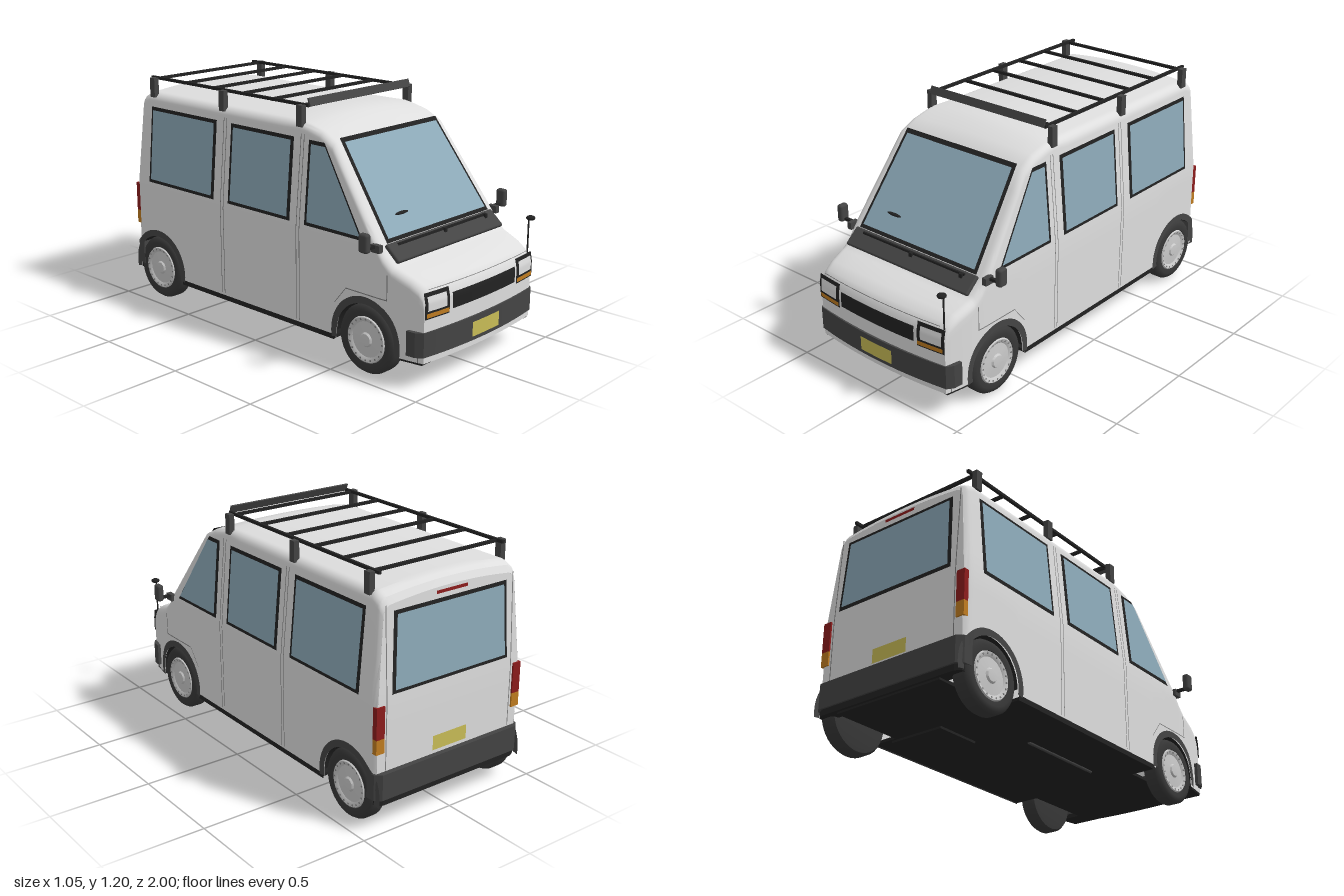
import * as THREE from 'three';
import { toCreasedNormals } from 'three/addons/utils/BufferGeometryUtils.js';
import { RoundedBoxGeometry } from 'three/addons/geometries/RoundedBoxGeometry.js';

const material = (name, color) => new THREE.MeshStandardMaterial({ name, color, side: THREE.DoubleSide });
const white = material('white paint', 0xdedede);
const glass = material('blue glass', 0x8daab9);
const black = material('black trim', 0x222222);
const grey = material('dark grey plastic', 0x444444);
const rubber = material('tyre rubber', 0x383838);
const silver = material('wheel silver', 0xcacaca);
const seam = material('seam grey', 0x808080);
const yellow = material('plate yellow', 0xc9bd57);
const orange = material('indicator orange', 0xc07c20);
const red = material('lamp red', 0x8c1c1c);

const { lerp, clamp } = THREE.MathUtils;
const AXLES = [0.65, -0.8], AXLE_Y = 0.165, ARCH = 0.175;

// Roof, windscreen and bonnet line: [z, y]
const TOP = [[-0.975, 1.06], [-0.955, 1.09], [-0.9, 1.11], [0.2, 1.112], [0.25, 1.1], [0.33, 1.075], [0.41, 1.03],
  [0.715, 0.62], [0.74, 0.585], [0.79, 0.54], [0.9, 0.505], [0.95, 0.48], [0.975, 0.45], [0.985, 0.41]];

function topY(z) {
  const i = clamp(TOP.findIndex(p => p[0] >= z), 1, TOP.length - 1);
  const [a, b] = [TOP[i - 1], TOP[i]];
  return lerp(a[1], b[1], clamp((z - a[0]) / (b[0] - a[0]), 0, 1));
}
function bottomY(z) {
  let y = 0.13;
  for (const c of AXLES) {
    const d = Math.abs(z - c);
    if (d <= ARCH + 1e-6) y = AXLE_Y + Math.sqrt(Math.max(0, ARCH * ARCH - d * d));
  }
  return y;
}
// Half width of the body: leans in above the waist, narrows at the nose and tail
function halfWidth(y, z) {
  const nose = clamp((z - 0.7) / 0.285, 0, 1), tail = clamp((-z - 0.94) / 0.035, 0, 1);
  return 0.43 - 0.09 * Math.max(0, y - 0.6) - 0.03 * nose * nose - 0.015 * tail * tail;
}
// Bowed nose and leaning tail
function warp(x, y, z) {
  const bow = 0.03 * (x / 0.42) ** 2 * clamp((z - 0.8) / 0.185, 0, 1);
  const lean = 0.025 * Math.max(0, (y - 0.6) / 0.5) * clamp((-z - 0.85) / 0.125, 0, 1);
  return [x, y, z - bow + lean];
}

// Grid of (nu+1) x (nv+1) points given by f(i, j)
function surface(nu, nv, f) {
  const pos = [], index = [];
  for (let i = 0; i <= nu; i++) for (let j = 0; j <= nv; j++) {
    pos.push(...f(i, j));
    if (i < nu && j < nv) {
      const a = i * (nv + 1) + j, b = a + nv + 1;
      index.push(a, b, a + 1, b, b + 1, a + 1);
    }
  }
  const g = new THREE.BufferGeometry();
  g.setAttribute('position', new THREE.Float32BufferAttribute(pos, 3));
  g.setIndex(index);
  g.computeVertexNormals();
  return g;
}

export function createModel() {
  const van = new THREE.Group();
  van.name = 'van';
  const add = (name, geo, mat, x = 0, y = 0, z = 0, parent = van) => {
    const m = new THREE.Mesh(geo, mat);
    m.name = name;
    m.position.set(x, y, z);
    parent.add(m);
    return m;
  };
  const box = (name, mat, w, h, d, x, y, z) => add(name, new THREE.BoxGeometry(w, h, d), mat, x, y, z);

  // Half cross-section from sill to roof centre
  const halfSection = z => {
    const T = topY(z), B = bottomY(z);
    const r = z < 0.2 ? 0.05 : 0.04, crown = lerp(0.02, 0.006, clamp((z - 0.2) / 0.2, 0, 1));
    const ys = T - crown - r, mid = Math.min(0.6, B + (ys - B) * 0.6), pts = [];
    for (let k = 0; k <= 8; k++) {
      const y = k < 4 ? lerp(B, mid, k / 4) : lerp(mid, ys, (k - 4) / 4);
      pts.push([halfWidth(y, z), y]);
    }
    const cx = halfWidth(ys, z) - r;
    for (let k = 1; k <= 6; k++) {
      const a = k * Math.PI / 12;
      pts.push([cx + r * Math.cos(a), ys + r * Math.sin(a)]);
    }
    for (let k = 1; k <= 5; k++) {
      const x = cx * (1 - k / 5);
      pts.push([x, T - crown * (x / cx) ** 2]);
    }
    return pts;
  };

  // Body shell with open wheel arches, closed at nose and tail
  const stations = TOP.map(p => p[0]);
  for (const c of AXLES) {
    for (let k = 0; k <= 16; k++) stations.push(c + ARCH * Math.cos(k * Math.PI / 16));
    stations.push(c + ARCH + 0.0005, c - ARCH - 0.0005);
  }
  stations.push(-0.5, -0.2, 0.1, 0.56, 0.63);
  stations.sort((a, b) => a - b);
  const rings = stations.map(z => {
    const h = halfSection(z);
    return [...h, ...h.slice(0, -1).reverse().map(([x, y]) => [-x, y])].map(([x, y]) => warp(x, y, z));
  });
  add('bodyShell', toCreasedNormals(surface(rings.length - 1, rings[0].length - 1, (i, j) => rings[i][j]), 0.6), white);
  for (const [name, z] of [['nosePanel', 0.985], ['tailPanel', -0.975]]) {
    const h = halfSection(z);
    add(name, surface(h.length - 1, 10, (i, j) => warp(h[i][0] * (1 - j / 5), h[i][1], z)), white);
  }

  // Thin plates laid on the body: four corners [a, y] run through a mapping
  const onSide = s => (z, y, o) => warp(s * (halfWidth(y, z) + o), y, z);
  const onNose = (x, y, o) => { const p = warp(x, y, 0.985 - Math.max(0, y - 0.41) * 0.25); p[2] += o; return p; };
  const onTail = (x, y, o) => { const p = warp(x, y, -0.975); p[2] -= o; return p; };
  const onScreen = (x, y, o) => [x, y, 0.715 - (y - 0.62) * 0.744 + o * 1.3];
  const plate = (name, mat, q, map, o) => add(name, surface(8, 8, (i, j) => {
    const u = i / 8, v = j / 8;
    return map(lerp(lerp(q[0][0], q[1][0], u), lerp(q[3][0], q[2][0], u), v),
      lerp(lerp(q[0][1], q[1][1], u), lerp(q[3][1], q[2][1], u), v), o);
  }), mat);
  const rect = (a0, a1, y0, y1) => [[a0, y0], [a1, y0], [a1, y1], [a0, y1]];
  const inset = (q, d) => {
    const [as, ys] = [q.map(p => p[0]), q.map(p => p[1])];
    const fit = (v, l) => {
      const lo = Math.min(...l), hi = Math.max(...l);
      return lerp(lo + d, hi - d, (v - lo) / (hi - lo));
    };
    return q.map(([a, y]) => [fit(a, as), fit(y, ys)]);
  };
  const framedWindow = (name, q, map) => {
    plate(name + 'Frame', black, q, map, 0.004);
    plate(name + 'Glass', glass, inset(q, 0.017), map, 0.008);
  };
  framedWindow('windscreen', [[-0.373, 0.62], [0.373, 0.62], [0.343, 1.04], [-0.343, 1.04]], onScreen);
  framedWindow('rearWindow', [[-0.34, 0.64], [0.34, 0.64], [0.325, 1.01], [-0.325, 1.01]], onTail);
  const vent = add('windscreenVent', new THREE.SphereGeometry(1, 16, 8), black, -0.2, 0.712, 0.652);
  vent.scale.set(0.05, 0.008, 0.012);

  for (const [side, s] of [['left', 1], ['right', -1]]) {
    const map = onSide(s);
    framedWindow(side + 'CabWindow', [[0.63, 0.625], [0.268, 0.625], [0.268, 1.02], [0.365, 1.02]], map);
    framedWindow(side + 'MiddleWindow', rect(-0.255, 0.172, 0.625, 1.02), map);
    framedWindow(side + 'RearSideWindow', rect(-0.865, -0.36, 0.625, 1.02), map);

    // Door seams
    for (const z of [0.215, 0.235, -0.29, -0.31]) plate(side + 'DoorSeam', seam, rect(z - 0.002, z + 0.002, 0.15, 1.04), map, 0.002);
    plate(side + 'BonnetSeam', seam, rect(0.768, 0.773, 0.385, 0.5), map, 0.002);
    plate(side + 'WingSeam', seam, rect(0.53, 0.773, 0.38, 0.385), map, 0.002);
    plate(side + 'WingSeam', seam, [[0.53, 0.38], [0.53, 0.385], [0.46, 0.3], [0.46, 0.295]], map, 0.002);

    // Sill and wheel arches
    plate(side + 'Sill', black, rect(-0.62, 0.46, 0.115, 0.14), map, 0.002);
    for (const c of AXLES) {
      add(side + 'ArchTrim', surface(24, 1, (i, j) => {
        const a = lerp(-0.17, Math.PI + 0.17, i / 24), r = j ? 0.206 : 0.172;
        return map(c + r * Math.cos(a), AXLE_Y + r * Math.sin(a), 0.006);
      }), grey);
      add(side + 'WheelWell', surface(16, 2, (i, j) => {
        const a = i * Math.PI / 16, r = j === 2 ? 0 : 0.177;
        return [s * (j ? 0.3 : 0.427), AXLE_Y + r * Math.sin(a), c + r * Math.cos(a)];
      }), black);
    }

    // Headlamp, indicator and tail lamps
    plate(side + 'HeadlampFrame', black, rect(s * 0.252, s * 0.403, 0.335, 0.455), onNose, 0.006);
    plate(side + 'HeadlampLens', white, rect(s * 0.272, s * 0.388, 0.372, 0.438), onNose, 0.009);
    plate(side + 'FrontIndicator', orange, rect(s * 0.256, s * 0.395, 0.342, 0.362), onNose, 0.009);
    box(side + 'TailLamp', red, 0.045, 0.15, 0.03, s * 0.404, 0.525, -0.968);
    box(side + 'RearIndicator', orange, 0.045, 0.07, 0.03, s * 0.404, 0.415, -0.968);
    plate(side + 'TailDoorSeam', seam, rect(s * 0.365, s * 0.37, 0.29, 1.04), onTail, 0.002);

    // Door mirror
    box(side + 'MirrorBase', grey, 0.025, 0.035, 0.05, s * 0.432, 0.61, 0.71);
    box(side + 'MirrorArm', black, 0.07, 0.014, 0.016, s * 0.465, 0.62, 0.705);
    add(side + 'MirrorHead', new RoundedBoxGeometry(0.034, 0.088, 0.05, 2, 0.012), grey, s * 0.506, 0.65, 0.705);

    // Roof rack rail and posts
    box(side + 'RackRail', black, 0.014, 0.014, 1.13, s * 0.355, 1.165, -0.335);
    for (const z of [0.2, -0.33, -0.86]) box(side + 'RackPost', grey, 0.028, 0.1, 0.036, s * 0.378, 1.118, z);
  }

  // Roof rack crossbars and wind deflector
  for (let k = 0; k < 6; k++) box('rackCrossbar', black, 0.71, 0.014, 0.014, 0, 1.162, 0.19 - k * 0.209);
  box('rackDeflector', grey, 0.71, 0.04, 0.008, 0, 1.18, 0.228).rotation.x = -0.4;

  // Cowl and wipers
  const cowl = add('cowl', new RoundedBoxGeometry(0.775, 0.022, 0.1, 2, 0.008), grey, 0, 0.583, 0.758);
  cowl.rotation.x = 0.71;
  for (const x of [-0.165, 0.165]) box('wiper', black, 0.32, 0.01, 0.01, x, 0.612, 0.742);
  for (const x of [0, 0.31]) box('wiperPivot', black, 0.018, 0.02, 0.02, x, 0.608, 0.748);

  // Nose mirror on a pole
  add('parkingMirrorPole', new THREE.CylinderGeometry(0.004, 0.004, 0.17, 8), black, 0.388, 0.535, 0.945);
  add('parkingMirror', new THREE.SphereGeometry(1, 16, 10), black, 0.388, 0.622, 0.955).scale.set(0.022, 0.012, 0.022);

  // Grille, plates and high brake lamp
  plate('grille', black, rect(-0.235, 0.235, 0.35, 0.425), onNose, 0.008);
  plate('bonnetSeam', seam, rect(-0.37, 0.37, 0.463, 0.466), onNose, 0.004);
  plate('rearNumberPlate', yellow, rect(-0.1, 0.1, 0.305, 0.375), onTail, 0.006);
  plate('highBrakeLamp', red, rect(-0.09, 0.09, 1.032, 1.047), onTail, 0.006);

  // Bumpers: plan outlines [x, z] drawn upwards
  const bumper = (name, mat, y0, y1, outline) => {
    const g = new THREE.ExtrudeGeometry(new THREE.Shape(outline.map(([x, z]) => new THREE.Vector2(x, -z))),
      { depth: y1 - y0, bevelEnabled: false });
    add(name, g.rotateX(-Math.PI / 2), mat, 0, y0, 0);
  };
  const frontZ = x => 0.995 - 0.035 * (x / 0.42) ** 2;
  const frontPlan = k => [[-0.432 * k, 0.885], [-0.428 * k, 0.93],
    ...Array.from({ length: 13 }, (_, i) => { const x = (-0.405 + i * 0.0675) * k; return [x, frontZ(x) - (1 - k) * 0.4]; }),
    [0.428 * k, 0.93], [0.432 * k, 0.885]];
  const rearPlan = k => [[-0.434 * k, -0.93], [-0.43 * k, -0.975], [-0.4 * k, -1 + (1 - k) * 0.3],
    [0.4 * k, -1 + (1 - k) * 0.3], [0.43 * k, -0.975], [0.434 * k, -0.93]];
  bumper('frontBumper', grey, 0.16, 0.275, frontPlan(1));
  bumper('frontValance', black, 0.125, 0.16, frontPlan(0.95));
  bumper('rearBumper', grey, 0.16, 0.285, rearPlan(1));
  bumper('rearValance', black, 0.13, 0.16, rearPlan(0.97));
  plate('frontNumberPlate', yellow, rect(-0.1, 0.1, 0.18, 0.25), (x, y, o) => [x, y, frontZ(x) + o], 0.004);

  // Floor with wheel cut-outs, tank and exhaust
  const half = [[0.4, 0.95], [0.42, 0.84], [0.3, 0.84], [0.3, 0.46], [0.428, 0.46], [0.428, -0.61],
    [0.3, -0.61], [0.3, -0.978], [0.2, -0.978]];
  bumper('floor', black, 0.12, 0.135, [...half, ...half.map(([x, z]) => [-x, z]).reverse()]);
  box('fuelTank', black, 0.3, 0.015, 0.24, 0.18, 0.116, -0.48);
  add('exhaustPipe', new THREE.CylinderGeometry(0.008, 0.008, 0.5, 10).rotateX(Math.PI / 2), grey, -0.16, 0.118, 0.05);

  // Wheels: lathed about the axle, outer side facing +x
  const lathe = pts => new THREE.LatheGeometry(pts.map(([r, x]) => new THREE.Vector2(r, x)), 40).rotateZ(-Math.PI / 2);
  const tyre = toCreasedNormals(lathe([[0, -0.045], [0.13, -0.045], [0.155, -0.04], [0.165, -0.025], [0.165, 0.025],
    [0.155, 0.04], [0.135, 0.046], [0.112, 0.042], [0.108, 0.03]]), 0.7);
  const cap = toCreasedNormals(lathe([[0.112, 0.036], [0.106, 0.046], [0.096, 0.044], [0.085, 0.036], [0.035, 0.04],
    [0.028, 0.048], [0, 0.05]]), 0.5);
  const dot = new THREE.CylinderGeometry(0.005, 0.005, 0.004, 8).rotateZ(Math.PI / 2);
  for (const z of AXLES) for (const s of [1, -1]) {
    const wheel = new THREE.Group();
    wheel.name = (z > 0 ? 'front' : 'rear') + (s > 0 ? 'Left' : 'Right') + 'Wheel';
    wheel.position.set(s * 0.386, AXLE_Y, z);
    wheel.rotation.y = s > 0 ? 0 : Math.PI;
    add('tyre', tyre, rubber, 0, 0, 0, wheel);
    add('hubcap', cap, silver, 0, 0, 0, wheel);
    for (let k = 0; k < 20; k++) {
      const a = k * Math.PI / 10;
      add('hubcapSlot', dot, seam, 0.0435, 0.098 * Math.sin(a), 0.098 * Math.cos(a), wheel);
    }
    van.add(wheel);
  }
  return van;
}
